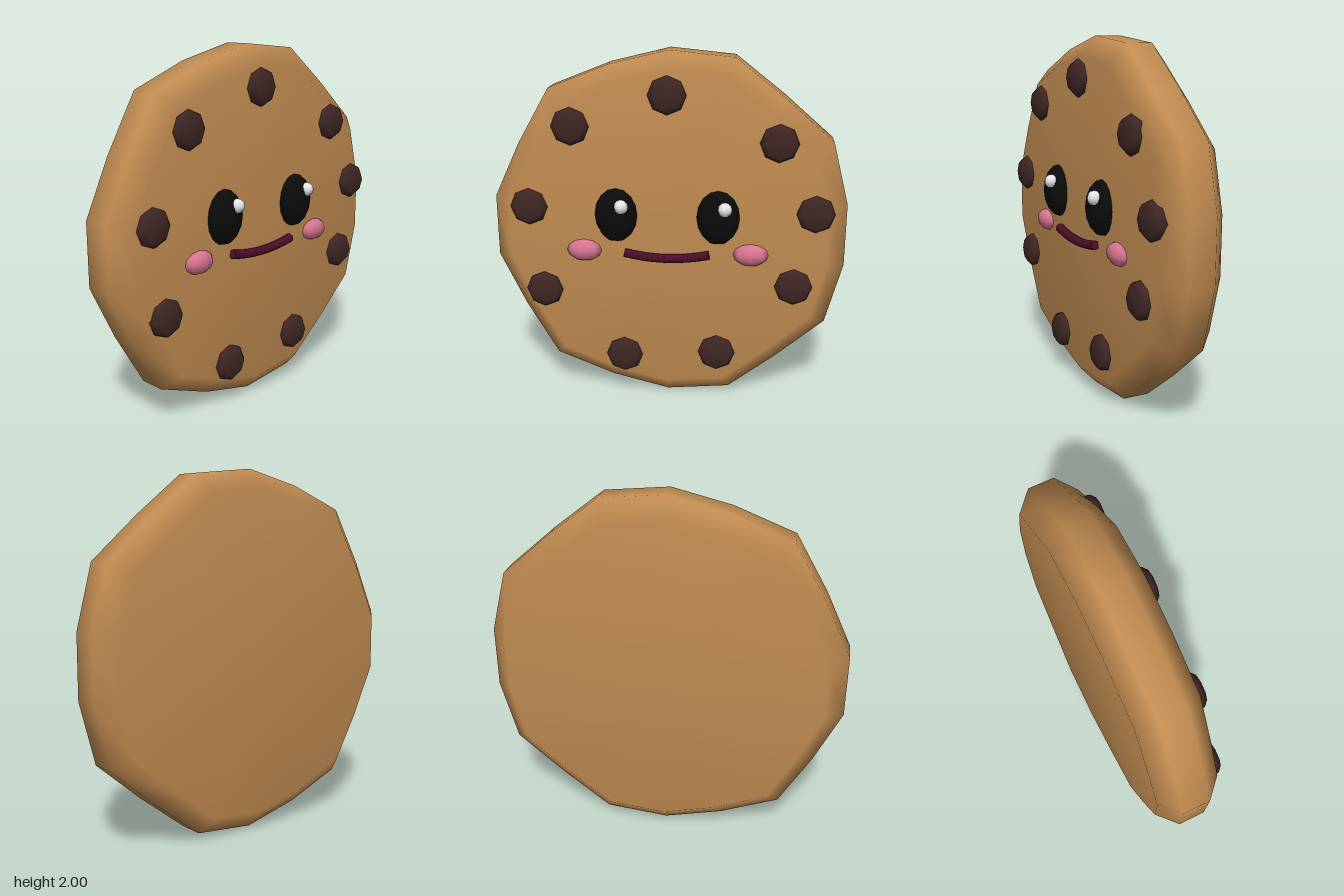
import * as THREE from 'three';

const mat = (name, color) => {
  const m = new THREE.MeshStandardMaterial({ color });
  m.name = name;
  return m;
};

// Rounded biscuit: rings of an uneven outline, closed by a fan on each side
function biscuitGeometry() {
  const upper = [[0.985, 0.175], [0.84, 0.48], [0.66, 0.79], [0.33, 0.92], [0, 1],
    [-0.355, 0.965], [-0.63, 0.75], [-0.895, 0.52], [-0.985, 0.175]];
  const outline = [...upper, ...upper.map(([z, y]) => [z, -y]).reverse()];
  const rings = [[-0.23, 0.895], [-0.13, 1], [0.02, 1], [0.12, 0.895]];
  const n = outline.length, pos = [], index = [];
  for (const [x, s] of rings) for (const [z, y] of outline) pos.push(x, 1 + y * s, z * s);
  const back = rings.length * n, front = back + 1, last = (rings.length - 1) * n;
  pos.push(-0.23, 1, 0, 0.12, 1, 0);
  for (let j = 0; j < n; j++) {
    const k = (j + 1) % n;
    for (let i = 0; i < rings.length - 1; i++) {
      const a = i * n + j, b = i * n + k;
      index.push(a, a + n, b, b, a + n, b + n);
    }
    index.push(back, j, k, front, last + k, last + j);
  }
  const g = new THREE.BufferGeometry();
  g.setAttribute('position', new THREE.Float32BufferAttribute(pos, 3));
  g.setIndex(index);
  g.computeVertexNormals();
  return g;
}

export function createModel() {
  const group = new THREE.Group();
  const dough = mat('baked dough', 0xc08b51);
  const chocolate = mat('dark chocolate', 0x3e2624);
  const black = mat('eye black', 0x0b0b0b);
  const white = mat('highlight white', 0xffffff);
  const pink = mat('blush pink', 0xd87590);
  const maroon = mat('mouth maroon', 0x4a0e28);

  const add = (name, geometry, material, x = 0, y = 0, z = 0) => {
    const m = new THREE.Mesh(geometry, material);
    m.name = name;
    m.position.set(x, y, z);
    group.add(m);
    return m;
  };

  add('biscuit', biscuitGeometry(), dough);

  // Chocolate chips: eight-sided domes on the face
  const chip = new THREE.LatheGeometry(
    [[0.1, -0.03], [0.105, 0], [0.098, 0.018], [0.073, 0.042], [0, 0.046]]
      .map(([r, h]) => new THREE.Vector2(r, h)), 8);
  chip.rotateZ(-Math.PI / 2);
  const chips = [[0, 1.775], [0.525, 1.6], [0.77, 1.145], [0.7, 0.655], [0.245, 0.265],
    [-0.285, 0.3], [-0.705, 0.72], [-0.81, 1.145], [-0.6, 1.53]];
  chips.forEach(([z, y], i) => add('chip' + (i + 1), chip, chocolate, 0.12, y, z));

  // Eyes with highlights, and cheeks
  const eye = new THREE.SphereGeometry(1, 12, 8).scale(0.083, 0.152, 0.118);
  const glint = new THREE.SphereGeometry(0.04, 8, 6);
  const cheek = new THREE.SphereGeometry(1, 8, 6).scale(0.048, 0.063, 0.098);
  for (const s of [1, -1]) {
    const side = s > 0 ? 'right' : 'left';
    add(side + 'Eye', eye, black, 0.12, 1.11, s * 0.282);
    add(side + 'EyeHighlight', glint, white, 0.185, 1.175, s * 0.282 - 0.038);
    add(side + 'Cheek', cheek, pink, 0.12, 0.9, s * 0.465);
  }

  // Smiling mouth: a bent tube with closed ends
  const curve = new THREE.QuadraticBezierCurve3(
    new THREE.Vector3(0.138, 0.897, 0.235),
    new THREE.Vector3(0.138, 0.843, 0),
    new THREE.Vector3(0.138, 0.897, -0.235));
  const r = 0.026;
  add('mouth', new THREE.TubeGeometry(curve, 12, r, 8), maroon);
  for (const t of [0, 1]) {
    const p = curve.getPoint(t);
    const cap = add('mouthEnd', new THREE.CircleGeometry(r, 8), maroon, p.x, p.y, p.z);
    cap.lookAt(p.clone().add(curve.getTangent(t).multiplyScalar(t ? 1 : -1)));
  }
  return group;
}
